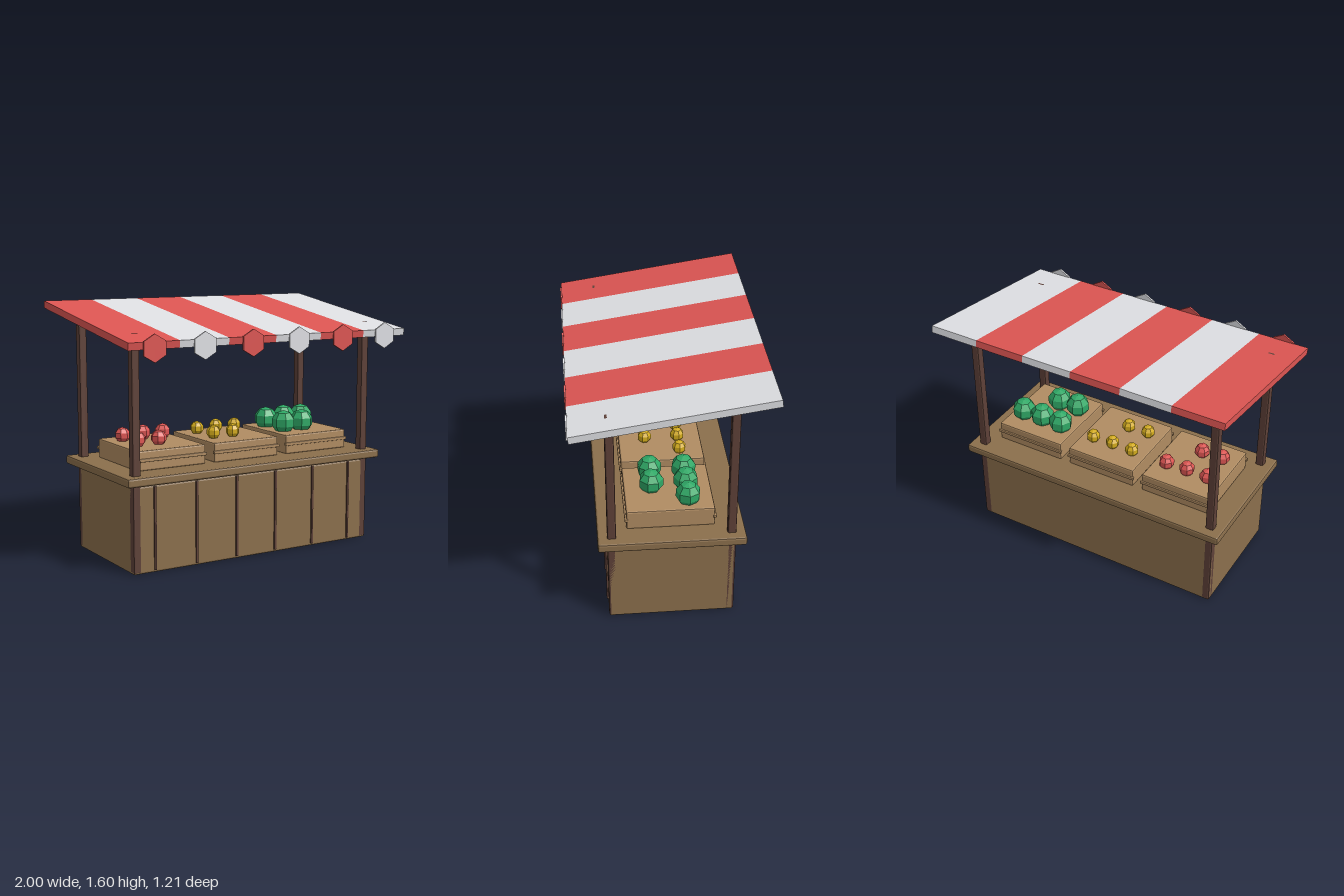
import * as THREE from 'three';
import { RoundedBoxGeometry } from 'three/addons/geometries/RoundedBoxGeometry.js';

const paint = (color) => new THREE.MeshStandardMaterial({ color, flatShading: true });
const wood = paint(0x8b6f4c);
const darkWood = paint(0x5e4138);
const crateWood = paint(0xb08c62);
const red = paint(0xdc5552);
const white = paint(0xdedfe3);
const green = paint(0x2fa866);
const yellow = paint(0xd4ac1c);

function add(parent, name, geometry, material, x, y, z) {
  const mesh = new THREE.Mesh(geometry, material);
  mesh.name = name;
  mesh.position.set(x, y, z);
  parent.add(mesh);
  return mesh;
}

// Box with a single chamfer along its edges
const chamferBox = (w, h, d, bevel) => new RoundedBoxGeometry(w, h, d, 1, bevel);

// Crate with cross slats and five pieces of produce: three behind, two in front
function makeCrate(name, x, material, radius, centreY) {
  const crate = new THREE.Group();
  crate.name = name;
  crate.position.x = x;
  add(crate, 'crateBox', chamferBox(0.48, 0.125, 0.54, 0.01), crateWood, 0, 0.667, 0);
  for (const side of [-1, 1]) {
    add(crate, 'crateSlat', chamferBox(0.494, 0.02, 0.02, 0.004), crateWood, 0, 0.67, side * 0.27);
  }
  const produce = new THREE.SphereGeometry(radius, 7, 5);
  for (let i = 0; i < 5; i++) {
    const px = ((i % 3) - 1) * 0.145;
    const pz = i < 3 ? -0.115 : 0.1;
    const piece = add(crate, 'produce', produce, material, px, centreY + (i % 2) * 0.004, pz);
    piece.rotation.y = i * 0.7;
  }
  return crate;
}

export function createModel() {
  const stall = new THREE.Group();
  stall.name = 'marketStall';

  // Counter
  add(stall, 'counterBody', chamferBox(1.75, 0.54, 0.78, 0.012), wood, 0, 0.27, 0);
  add(stall, 'counterTop', chamferBox(1.87, 0.055, 0.9, 0.012), wood, 0, 0.578, 0);
  for (let i = 0; i < 6; i++) {
    add(stall, 'frontBatten', chamferBox(0.016, 0.52, 0.02, 0.004), darkWood, -0.73 + i * 0.29, 0.275, 0.39);
  }

  // Corner posts
  for (const x of [-0.848, 0.848]) {
    for (const z of [-0.364, 0.364]) {
      add(stall, 'post', chamferBox(0.054, 1.45, 0.054, 0.01), darkWood, x, 0.73, z);
    }
  }

  // Sloping striped canopy with hexagonal flaps on its front edge
  const slope = Math.atan(0.15);
  for (let i = 0; i < 6; i++) {
    const cloth = i % 2 ? white : red;
    const x = -1 + (i + 0.5) / 3;
    const stripe = add(stall, 'canopyStripe', new THREE.BoxGeometry(1 / 3, 0.045, 1.207), cloth, x, 1.488, 0);
    stripe.rotation.x = slope;
    const flap = add(stall, 'canopyFlap', new THREE.CylinderGeometry(0.083, 0.083, 0.012, 6), cloth, x, 1.383, 0.601);
    flap.rotation.x = Math.PI / 2;
  }

  // Produce
  stall.add(makeCrate('redFruitCrate', -0.545, red, 0.051, 0.766));
  stall.add(makeCrate('yellowFruitCrate', 0, yellow, 0.046, 0.764));
  stall.add(makeCrate('cabbageCrate', 0.545, green, 0.08, 0.782));

  return stall;
}
